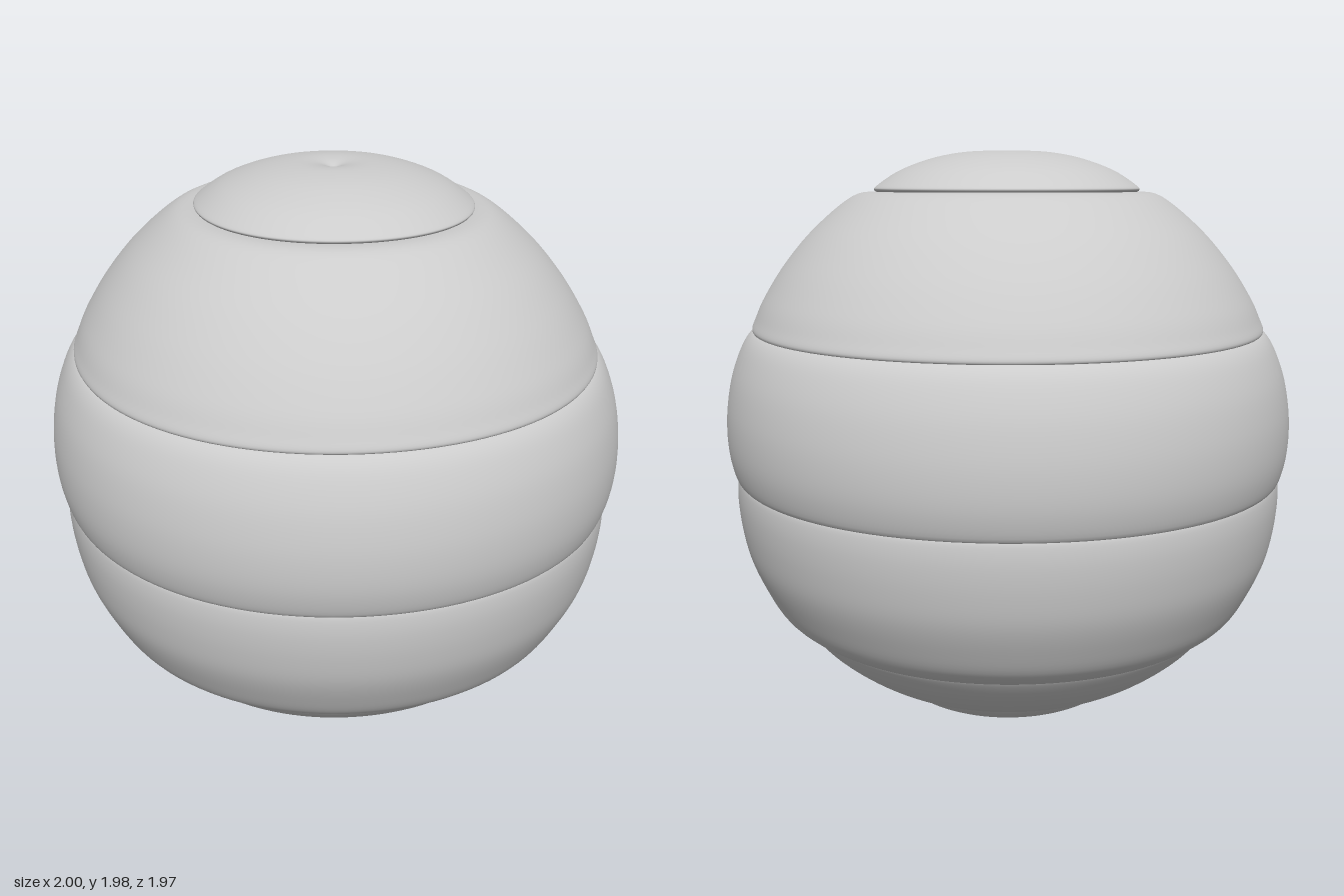
import * as THREE from 'three';

const material = new THREE.MeshStandardMaterial({ color: 0xcccccc, side: THREE.DoubleSide });

// Slight out-of-round factor shared by all bands
function roundness(angle) {
  return 0.985 + 0.0075 * Math.cos(2 * angle) + 0.0085 * Math.sin(2 * angle) + 0.0075 * Math.cos(4 * angle);
}

// Smooth band of revolution; profile is [radius, height] from bottom to top
function band(name, profile) {
  const curve = new THREE.SplineCurve(profile.map(([r, y]) => new THREE.Vector2(r, y)));
  const points = curve.getPoints(40);
  points.forEach((p) => { p.x = Math.max(p.x, 0); });
  const geometry = new THREE.LatheGeometry(points, 128);
  const pos = geometry.attributes.position;
  for (let i = 0; i < pos.count; i++) {
    const x = pos.getX(i), z = pos.getZ(i);
    const k = roundness(Math.atan2(z, x));
    pos.setX(i, x * k);
    pos.setZ(i, z * k);
  }
  const mesh = new THREE.Mesh(geometry, material);
  mesh.name = name;
  return mesh;
}

export function createModel() {
  const group = new THREE.Group();
  group.name = 'bandedBall';
  group.add(
    // Puckered base, dimpled at the centre
    band('baseCap', [[0, 0.02], [0.05, 0.006], [0.12, 0.003], [0.2, 0.012], [0.3, 0.04], [0.4, 0.09], [0.462, 0.143], [0.455, 0.16]]),
    // Stacked bulging bands, each meeting the next in a groove
    band('lowestBand', [[0.44, 0.155], [0.47, 0.15], [0.54, 0.182], [0.63, 0.242], [0.72, 0.32], [0.785, 0.4], [0.775, 0.41]]),
    band('lowerBand', [[0.765, 0.4], [0.79, 0.403], [0.86, 0.46], [0.91, 0.55], [0.95, 0.65], [0.97, 0.75], [0.977, 0.84], [0.972, 0.905], [0.96, 0.925]]),
    band('middleBand', [[0.955, 0.915], [0.978, 0.92], [0.996, 0.99], [1.001, 1.07], [0.994, 1.16], [0.972, 1.26], [0.935, 1.35], [0.9, 1.395], [0.87, 1.4]]),
    band('shoulderBand', [[0.87, 1.39], [0.898, 1.402], [0.885, 1.44], [0.85, 1.51], [0.775, 1.62], [0.67, 1.735], [0.535, 1.838], [0.44, 1.85]]),
    // Puckered top, dimpled at the centre
    band('topCap', [[0.44, 1.845], [0.463, 1.855], [0.452, 1.872], [0.37, 1.922], [0.25, 1.963], [0.13, 1.982], [0.05, 1.978], [0, 1.96]])
  );
  return group;
}
